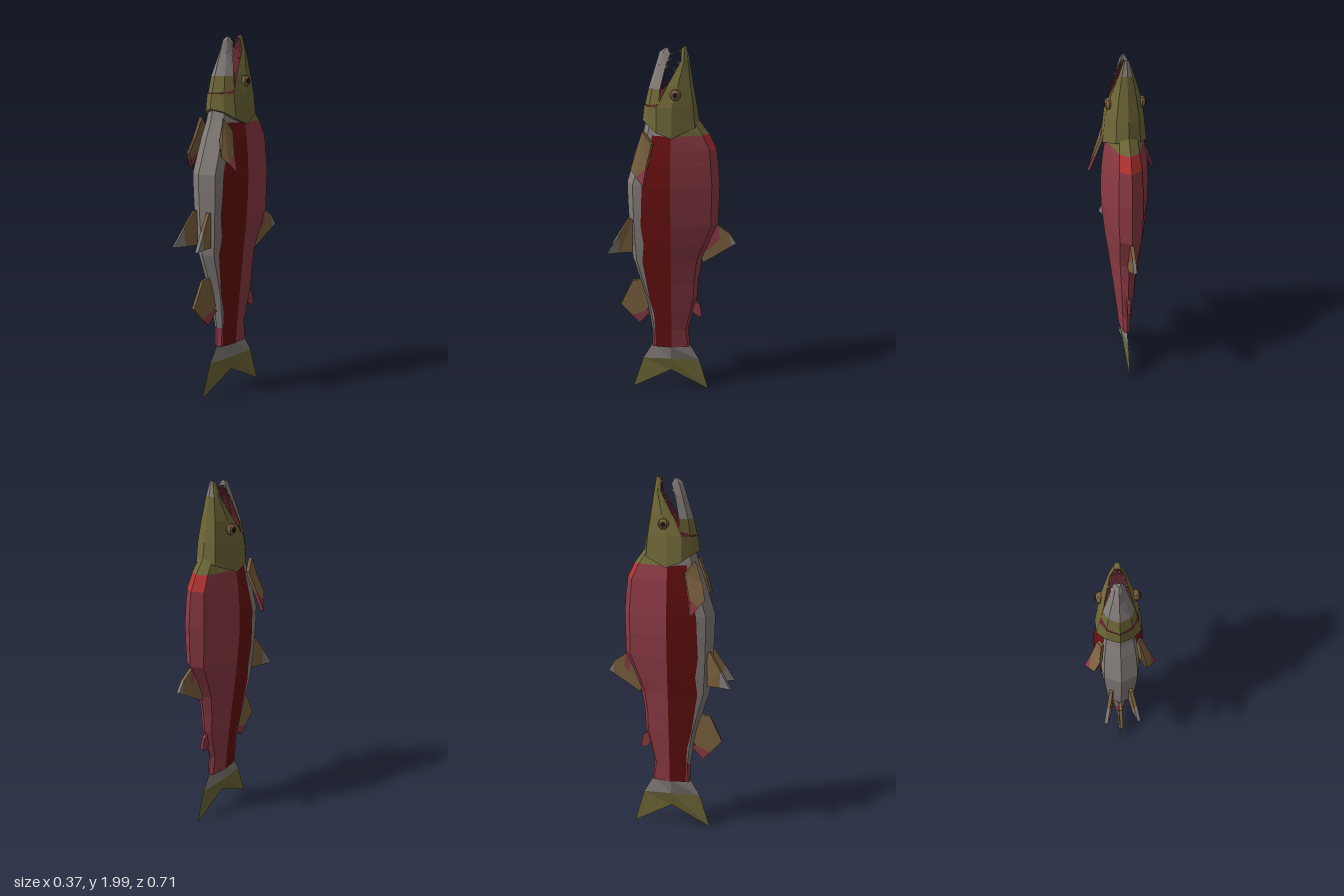
import * as THREE from 'three';

const mat = (name, color, side = THREE.FrontSide) => {
  const m = new THREE.MeshStandardMaterial({ color, flatShading: true, side });
  m.name = name;
  return m;
};

export function createModel() {
  const grey = mat('belly grey', 0x837c79);
  const rose = mat('rose flank', 0x8c3a44);
  const darkRed = mat('dark red stripe', 0x66100f);
  const red = mat('bright red nape', 0xb43433);
  const olive = mat('olive', 0x6f6838);
  const brown = mat('fin brown', 0x7d6240);
  const lining = mat('mouth lining', 0x5a2329);
  const black = mat('pupil black', 0x1e1b17);
  const ivory = mat('tooth ivory', 0xa39c94);

  const group = new THREE.Group();
  group.name = 'fish';
  const add = (name, geometry, material, parent = group) => {
    const mesh = new THREE.Mesh(geometry, material);
    mesh.name = name;
    parent.add(mesh);
    return mesh;
  };

  // Collects polygons by material, then makes one mesh for each material.
  const builder = () => {
    const sets = new Map();
    return {
      poly(material, pts) {
        if (!sets.has(material)) sets.set(material, []);
        const out = sets.get(material);
        for (let i = 1; i < pts.length - 1; i++) {
          const t = new THREE.Triangle(pts[0], pts[i], pts[i + 1]);
          if (t.getArea() > 1e-9) out.push(...t.a.toArray(), ...t.b.toArray(), ...t.c.toArray());
        }
      },
      finish(name) {
        const part = new THREE.Group();
        part.name = name;
        for (const [material, out] of sets) {
          const g = new THREE.BufferGeometry();
          g.setAttribute('position', new THREE.Float32BufferAttribute(out, 3));
          g.computeVertexNormals();
          add(`${name} ${material.name}`, g, material, part);
        }
        group.add(part);
        return part;
      },
    };
  };
  const vec = (p) => new THREE.Vector3(...p);
  const flip = (v) => new THREE.Vector3(-v.x, v.y, v.z);

  // Skins half rings (back to front, listed upwards), mirrored across x.
  const loft = (name, halfRings, pick) => {
    const b = builder();
    const rings = halfRings.map((r) => r.map(vec));
    for (let r = 0; r < rings.length - 1; r++) {
      const lo = rings[r], hi = rings[r + 1];
      for (let i = 0; i < lo.length - 1; i++) {
        const q = [lo[i], hi[i], hi[i + 1], lo[i + 1]];
        b.poly(pick(r, i), q);
        b.poly(pick(r, i), q.map(flip).reverse());
      }
    }
    [rings[0], rings[rings.length - 1]].forEach((ring, top) => {
      for (let i = 0; i < ring.length - 1; i++) {
        const q = [ring[i], ring[i + 1], flip(ring[i + 1]), flip(ring[i])];
        b.poly(pick(top ? rings.length - 2 : 0, i), top ? q.reverse() : q);
      }
    });
    return b.finish(name);
  };

  // Body: y, back z, belly z, half width, z of the stripe's belly edge
  const body = [
    [0.29, -0.10, 0.12, 0.036, 0.095], [0.40, -0.09, 0.12, 0.045, 0.10],
    [0.50, -0.115, 0.135, 0.056, 0.105], [0.60, -0.14, 0.155, 0.067, 0.13],
    [0.70, -0.145, 0.185, 0.078, 0.145], [0.83, -0.165, 0.225, 0.093, 0.165],
    [0.93, -0.205, 0.235, 0.107, 0.155], [1.04, -0.25, 0.243, 0.118, 0.17],
    [1.16, -0.253, 0.248, 0.128, 0.165], [1.27, -0.255, 0.25, 0.13, 0.16],
    [1.38, -0.245, 0.215, 0.124, 0.13], [1.46, -0.235, 0.19, 0.115, 0.115],
    [1.54, -0.195, 0.16, 0.102, 0.105], [1.62, -0.135, 0.14, 0.085, 0.09],
  ].map(([y, back, belly, w, edge]) => {
    const ez = belly - 0.3 * w;
    const x = THREE.MathUtils.lerp(w, 0.66 * w, edge / ez);
    return [[0, y, back], [0.5 * w, y, back + 0.32 * w], [w, y, 0.005],
      [x, y, Math.min(edge, ez)], [0.66 * w, y, ez], [0, y, belly]];
  });
  loft('body', body, (r, i) => {
    if (i >= 3) return r === 0 ? rose : grey;
    if (r === 12) return i === 2 ? grey : olive;
    if (i === 2) return darkRed;
    return r === 11 && i === 0 ? red : rose;
  });

  // Tail fin
  loft('tail fin', [
    [[0, 0.01, -0.21], [0.004, 0.13, 0.01], [0, 0.01, 0.235]],
    [[0, 0.20, -0.155], [0.02, 0.21, 0.01], [0, 0.20, 0.175]],
    [[0, 0.295, -0.10], [0.036, 0.295, 0.01], [0, 0.295, 0.12]],
  ], (r) => (r ? grey : olive));

  // Head with gill covers; the slanted front faces are the roof of the mouth
  loft('head', [
    [[0, 1.60, -0.142], [0.062, 1.58, -0.12], [0.115, 1.53, 0.0], [0.11, 1.56, 0.08], [0.07, 1.595, 0.13], [0, 1.61, 0.162]],
    [[0, 1.69, -0.128], [0.058, 1.69, -0.11], [0.098, 1.69, 0.0], [0.094, 1.69, 0.08], [0.062, 1.69, 0.125], [0, 1.69, 0.152]],
    [[0, 1.80, -0.108], [0.045, 1.80, -0.095], [0.074, 1.80, -0.03], [0.064, 1.80, 0.025], [0.04, 1.80, 0.02], [0, 1.80, 0.015]],
    [[0, 1.92, -0.088], [0.026, 1.92, -0.08], [0.038, 1.92, -0.06], [0.034, 1.92, -0.043], [0.02, 1.92, -0.045], [0, 1.92, -0.047]],
    [[0, 1.998, -0.072], [0.01, 1.996, -0.069], [0.014, 1.992, -0.06], [0.013, 1.985, -0.045], [0.007, 1.98, -0.042], [0, 1.98, -0.04]],
  ], (r, i) => {
    if (r > 0 && i >= 3) return lining;
    return r === 3 && i === 0 ? grey : olive;
  });

  // Lower jaw, a trough hollow towards the mouth
  loft('lower jaw', [
    [[0, 1.66, 0.10], [0.05, 1.66, 0.09], [0.095, 1.66, 0.07], [0.064, 1.66, 0.125], [0, 1.66, 0.156]],
    [[0, 1.78, 0.095], [0.04, 1.78, 0.085], [0.075, 1.78, 0.062], [0.052, 1.78, 0.105], [0, 1.78, 0.128]],
    [[0, 1.90, 0.06], [0.02, 1.90, 0.05], [0.04, 1.90, 0.033], [0.028, 1.90, 0.07], [0, 1.90, 0.09]],
    [[0, 1.96, 0.025], [0.01, 1.96, 0.02], [0.022, 1.955, 0.012], [0.017, 1.965, 0.05], [0, 1.965, 0.07]],
    [[0, 1.985, 0.025], [0.005, 1.985, 0.025], [0.009, 1.985, 0.025], [0.008, 1.985, 0.037], [0, 1.985, 0.042]],
  ], (r, i) => {
    if (i < 2) return r > 2 ? grey : lining;
    return r === 0 ? olive : grey;
  });

  for (const s of [-1, 1]) {
    // Eyes
    const eye = new THREE.Group();
    eye.name = s > 0 ? 'left eye' : 'right eye';
    eye.position.set(s * 0.083, 1.755, -0.018);
    const ball = add('eyeball', new THREE.SphereGeometry(0.03, 8, 6), brown, eye);
    ball.scale.x = 0.8;
    const pupil = add('pupil', new THREE.CylinderGeometry(0.013, 0.013, 0.006, 8), black, eye);
    pupil.rotation.z = Math.PI / 2;
    pupil.position.x = s * 0.022;
    group.add(eye);

    // Teeth: x, y, z, direction along z
    for (const [x, y, z, d] of [[0.01, 1.97, -0.034, 1], [0.03, 1.91, -0.03, 1], [0.042, 1.875, -0.01, 1],
      [0.012, 1.955, 0.008, -1], [0.03, 1.925, 0.016, -1], [0.042, 1.89, 0.03, -1]]) {
      const tooth = add('tooth', new THREE.ConeGeometry(0.006, 0.024, 4), ivory);
      tooth.position.set(s * x, y, z);
      tooth.rotation.x = d * 1.2;
    }
  }

  // Fins: flat polygons thickened along a direction, one colour for each panel
  const fin = (name, thick, panels, mirrored = false) => {
    const b = builder();
    const off = vec(thick);
    for (const [material, raw] of panels) {
      let pts = raw.map((p) => (mirrored ? flip(vec(p)) : vec(p)));
      const o = mirrored ? flip(off) : off.clone();
      const n = pts[1].clone().sub(pts[0]).cross(pts[2].clone().sub(pts[0]));
      if (n.dot(o) < 0) pts = pts.reverse();
      const up = pts.map((p) => p.clone().add(o));
      const down = pts.map((p) => p.clone().sub(o));
      b.poly(material, up);
      b.poly(material, [...down].reverse());
      pts.forEach((_, i) => {
        const j = (i + 1) % pts.length;
        b.poly(material, [down[i], down[j], up[j], up[i]]);
      });
    }
    b.finish(name);
  };
  const flat = (...pts) => pts.map(([z, y]) => [0, y, z]);

  fin('dorsal fin', [0.009, 0, 0], [
    [rose, flat([-0.22, 1.04], [-0.25, 1.03], [-0.26, 0.95], [-0.20, 0.89], [-0.15, 0.87])],
    [brown, flat([-0.25, 1.03], [-0.315, 0.985], [-0.325, 0.911], [-0.17, 0.81], [-0.15, 0.87], [-0.20, 0.89], [-0.26, 0.95])],
    [grey, flat([-0.315, 0.985], [-0.352, 0.927], [-0.325, 0.911])],
  ]);
  fin('adipose fin', [0.009, 0, 0], [
    [rose, flat([-0.12, 0.58], [-0.155, 0.555], [-0.168, 0.49], [-0.15, 0.475], [-0.10, 0.515])],
  ]);
  fin('anal fin', [0.009, 0, 0], [
    [brown, flat([0.17, 0.70], [0.23, 0.69], [0.298, 0.545], [0.235, 0.475], [0.15, 0.51], [0.12, 0.56])],
    [rose, flat([0.235, 0.475], [0.19, 0.43], [0.12, 0.51], [0.15, 0.51])],
  ]);
  for (const mirrored of [false, true]) {
    const side = mirrored ? 'right' : 'left';
    fin(`${side} pelvic fin`, [0.009, 0, -0.003], [
      [brown, [[0.05, 1.07, 0.22], [0.055, 1.07, 0.237], [0.074, 0.975, 0.296], [0.067, 0.88, 0.29], [0.05, 0.88, 0.22]]],
      [grey, [[0.074, 0.975, 0.296], [0.092, 0.88, 0.352], [0.067, 0.88, 0.29]]],
    ], mirrored);
    fin(`${side} pectoral fin`, [0.007, 0, 0.005], [
      [brown, [[0.085, 1.565, 0.15], [0.097, 1.45, 0.19], [0.128, 1.37, 0.208], [0.152, 1.333, 0.175], [0.142, 1.385, 0.125], [0.105, 1.50, 0.10]]],
      [rose, [[0.152, 1.333, 0.175], [0.176, 1.288, 0.14], [0.142, 1.385, 0.125]]],
    ], mirrored);
  }
  return group;
}
